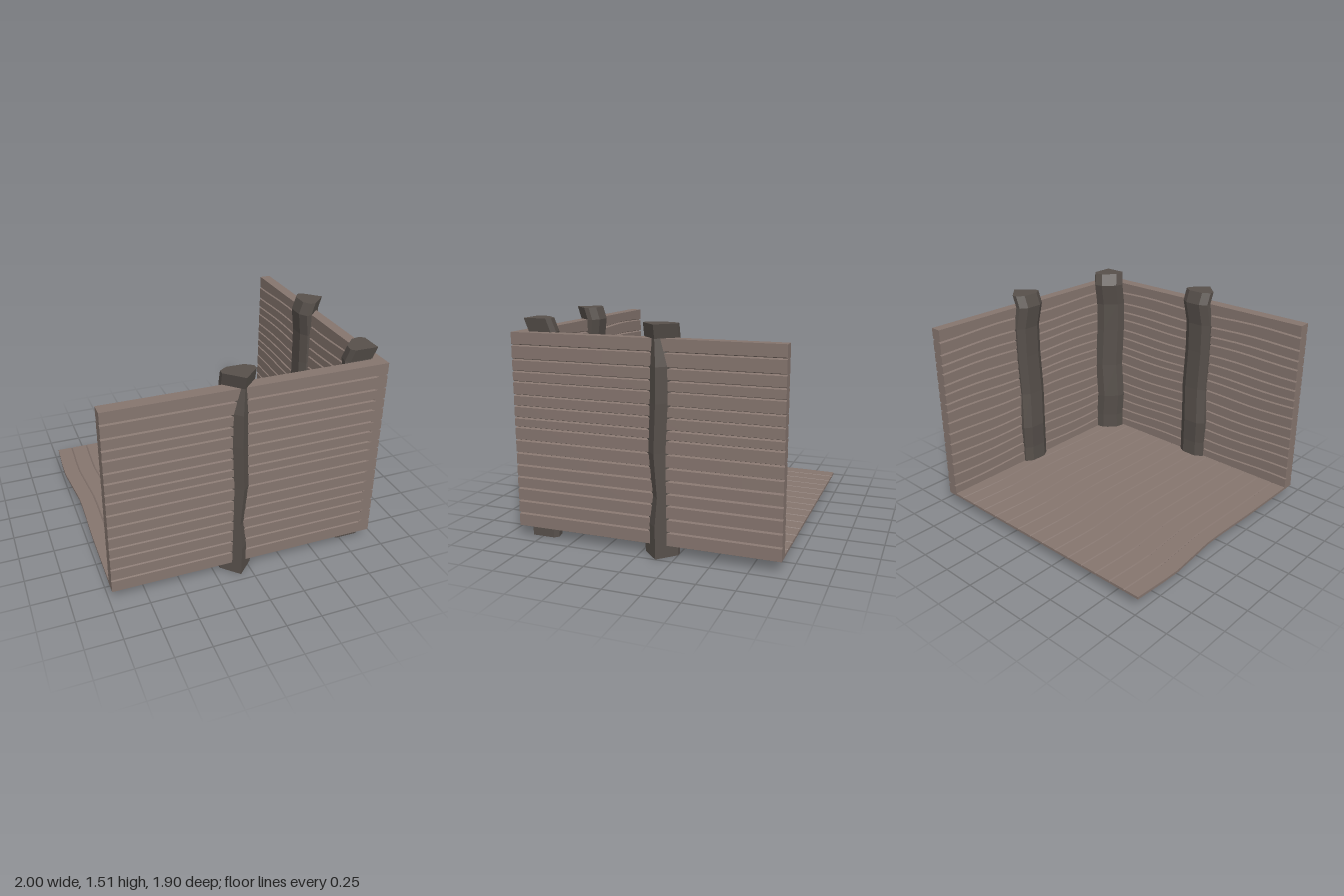
import * as THREE from 'three';

const plankMat = new THREE.MeshStandardMaterial({ color: 0x85756e, flatShading: true });
const postMat = new THREE.MeshStandardMaterial({ color: 0x57504b, flatShading: true });

// Skin a list of equal-sized rings (counter-clockwise about the path) and cap both ends
function loft(rings) {
  const n = rings[0].length;
  const index = [];
  for (let i = 0; i < rings.length - 1; i++) {
    for (let j = 0; j < n; j++) {
      const a = i * n + j, b = i * n + (j + 1) % n;
      index.push(a, b, b + n, a, b + n, a + n);
    }
  }
  const last = (rings.length - 1) * n;
  for (let j = 1; j < n - 1; j++) {
    index.push(0, j + 1, j, last, last + j, last + j + 1);
  }
  const geo = new THREE.BufferGeometry();
  geo.setAttribute('position', new THREE.Float32BufferAttribute(rings.flat(2), 3));
  geo.setIndex(index);
  const flat = geo.toNonIndexed();
  flat.computeVertexNormals();
  return flat;
}

// Row of planks along an axis; seams are V grooves that can wander on either face
function plankRow(name, { edges, from, to, low, high, groove, depth, steps, waveLow, waveHigh, place }) {
  const row = new THREE.Group();
  row.name = name;
  for (let k = 0; k < edges.length - 1; k++) {
    const c0 = k === 0 ? 0 : groove;
    const c1 = k === edges.length - 2 ? 0 : groove;
    const rings = [];
    for (let s = 0; s <= steps; s++) {
      const a = from + (to - from) * s / steps;
      const l0 = edges[k] + waveLow(a, k), l1 = edges[k + 1] + waveLow(a, k + 1);
      const h0 = edges[k] + waveHigh(a, k), h1 = edges[k + 1] + waveHigh(a, k + 1);
      rings.push([
        [l1, low + depth], [h1, high - depth], [h1 - c1, high], [h0 + c0, high],
        [h0, high - depth], [l0, low + depth], [l0 + c0, low], [l1 - c1, low],
      ].map(([p, q]) => place(a, p, q)));
    }
    const plank = new THREE.Mesh(loft(rings), plankMat);
    plank.name = name + 'Plank';
    row.add(plank);
  }
  return row;
}

const wallSeams = [0.08, 0.17, 0.26, 0.35, 0.43, 0.515, 0.6, 0.69, 0.78, 0.845, 0.925, 1.0, 1.09, 1.16, 1.24, 1.335, 1.42];

function wall(name, from, to, low, high) {
  return plankRow(name, {
    edges: wallSeams, from, to, low, high, groove: 0.007, depth: 0.02, steps: 14,
    waveHigh: () => 0,
    waveLow: (a, k) => (k === 0 || k === 16 ? 0 : 0.008 * Math.sin(a * 6 + k * 0.35)),
    place: (a, p, q) => [a, p, q],
  });
}

// Sideways drift of the floor seams along z
const driftAt = [[-0.95, 0], [-0.6, -0.02], [-0.15, 0.02], [0.3, 0.005], [0.83, 0]];
function drift(z) {
  for (let i = 1; i < driftAt.length; i++) {
    const [z0, d0] = driftAt[i - 1], [z1, d1] = driftAt[i];
    if (z <= z1) return d0 + (d1 - d0) * (z - z0) / (z1 - z0);
  }
  return 0;
}

function floor() {
  const edges = [-0.98];
  for (let i = 0; i < 14; i++) edges.push(-0.865 + i * 0.126);
  edges.push(0.87);
  const wave = (a, k) => (k === edges.length - 1 ? 0 : drift(a) * (k === 0 ? 1 : 0.8));
  return plankRow('floor', {
    edges, from: -0.95, to: 0.83, low: 0.08, high: 0.098, groove: 0.006, depth: 0.007, steps: 14,
    waveLow: wave, waveHigh: wave, place: (a, p, q) => [p, q, a],
  });
}

// Rough-hewn post: sharp edge facing outwards (+z), chamfered back; rings sway with height
const section = [[0, 0.112], [0.114, -0.002], [0.114, -0.04], [0.06, -0.077], [-0.06, -0.077], [-0.114, -0.04], [-0.114, -0.002]];
const sway = [ // height, sideways, outward
  [0, 0, 0], [0.22, 0.002, 0], [0.41, -0.01, -0.014], [0.7, 0.005, 0], [1.02, -0.01, 0.002], [1.25, -0.012, -0.002], [1.42, 0.004, -0.03], [1.51, 0, 0],
];
function post(name, x, z, turn, flip) {
  const rings = sway.map(([y, du, dv]) => section.map(([u, v]) => [u + du * flip, y, v + dv]));
  const mesh = new THREE.Mesh(loft(rings), postMat);
  mesh.name = name;
  mesh.position.set(x, 0, z);
  mesh.rotation.y = turn;
  return mesh;
}

export function createModel() {
  const model = new THREE.Group();
  model.name = 'plankCorner';

  // Two plank walls meeting at a corner, open on the other sides
  const frontWall = wall('frontWall', -0.98, 0.86, 0.81, 0.9);
  const sideWall = wall('sideWall', -0.9, 0.95, 0.86, 0.94);
  sideWall.rotation.y = Math.PI / 2;
  model.add(frontWall, sideWall, floor());

  // Posts through the middle of each wall and inside the corner
  model.add(
    post('frontPost', -0.083, 0.837, 0, 1),
    post('sidePost', 0.886, -0.135, Math.PI / 2, -1),
    post('cornerPost', 0.812, 0.747, Math.PI / 4, 1),
  );
  return model;
}
